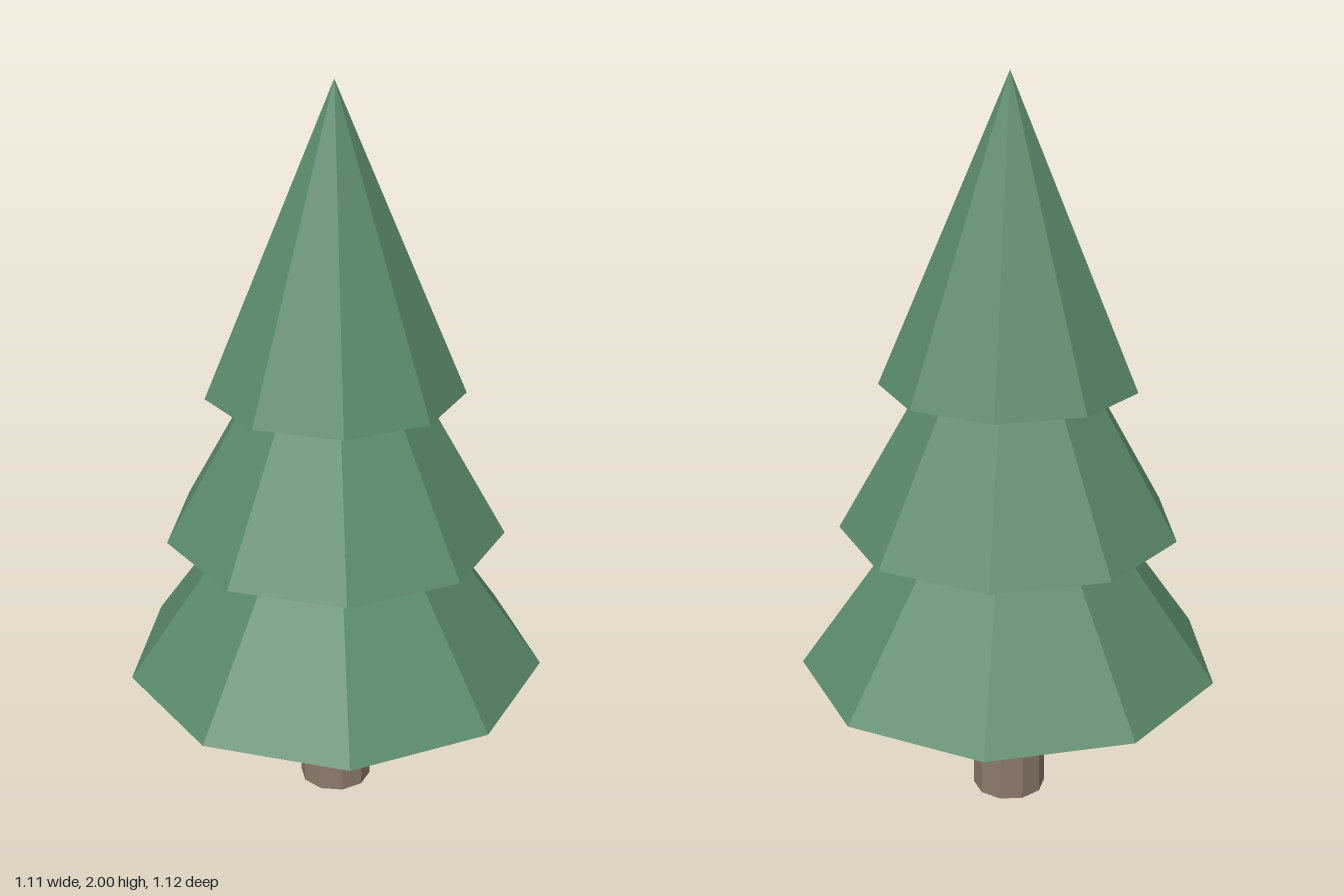
import * as THREE from 'three';

export function createModel() {
  const tree = new THREE.Group();
  tree.name = 'pineTree';

  const needles = new THREE.MeshStandardMaterial({ color: 0x5a8a6a, flatShading: true });
  needles.name = 'needleGreen';
  const bark = new THREE.MeshStandardMaterial({ color: 0x8b7b6b, flatShading: true });
  bark.name = 'barkBrown';

  // The nine-sided tiers are wider on +x, so the axis sits slightly left of centre
  const axisX = -0.017;
  const turn = Math.PI / 2; // puts a corner on +x

  function add(name, geometry, material, y) {
    const mesh = new THREE.Mesh(geometry, material);
    mesh.name = name;
    mesh.position.set(axisX, y, 0);
    tree.add(mesh);
  }

  // Trunk: ten-sided post
  add('trunk', new THREE.CylinderGeometry(0.1, 0.1, 0.4, 10, 1, false, turn), bark, 0.2);

  // Foliage: three stacked cones of equal height
  const height = 0.8;
  const tiers = [
    ['lowerFoliage', 0.571, 0.4],
    ['middleFoliage', 0.457, 0.8],
    ['upperFoliage', 0.343, 1.2],
  ];
  for (const [name, radius, base] of tiers) {
    add(name, new THREE.ConeGeometry(radius, height, 9, 1, false, turn), needles, base + height / 2);
  }

  return tree;
}
